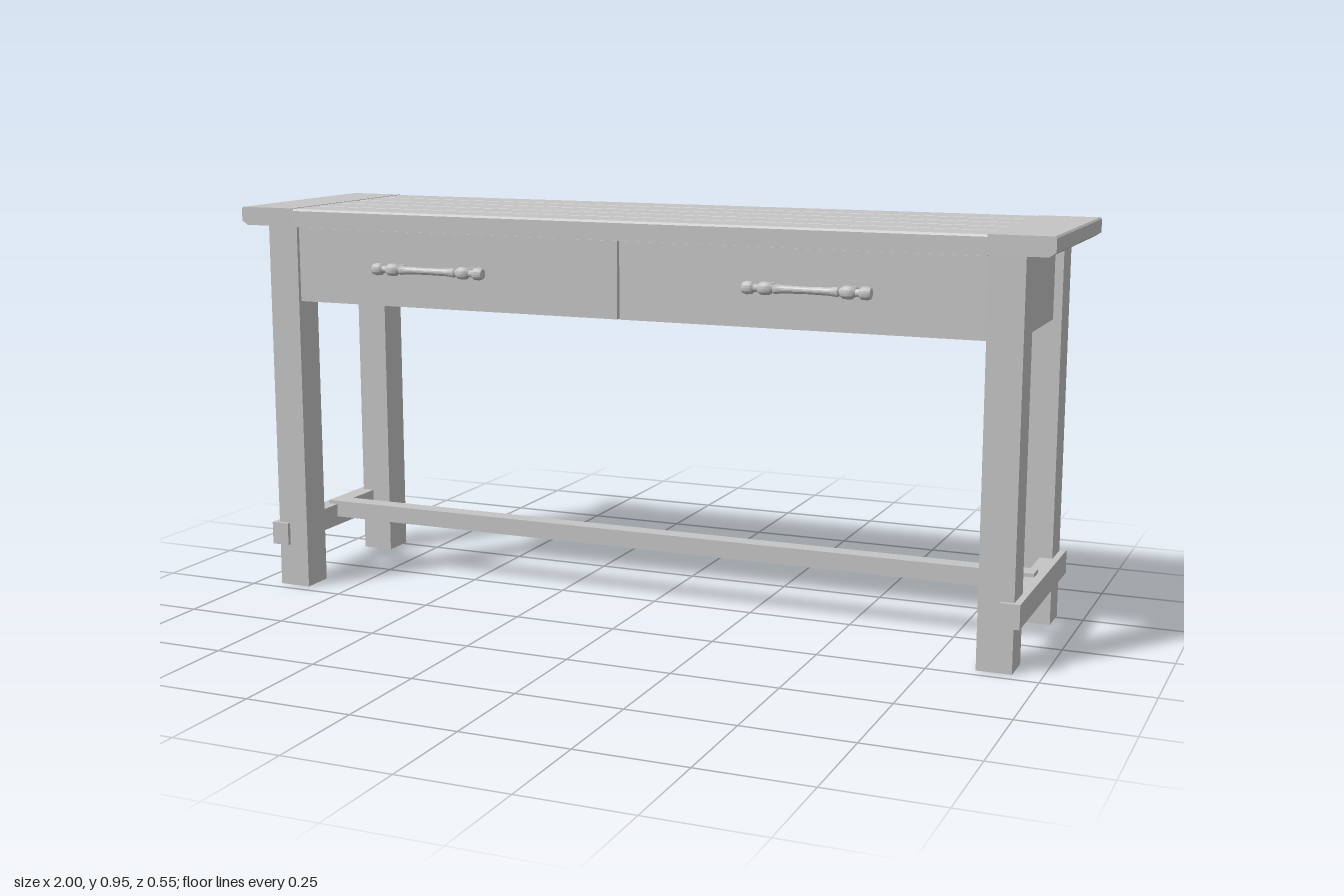
import * as THREE from 'three';
import { toCreasedNormals } from 'three/addons/utils/BufferGeometryUtils.js';

export function createModel() {
  const root = new THREE.Group();
  const grey = new THREE.MeshStandardMaterial({ color: 0xc4c4c4 });
  grey.name = 'plain grey';

  const add = (name, geometry, parent = root) => {
    const mesh = new THREE.Mesh(geometry, grey);
    mesh.name = name;
    parent.add(mesh);
    return mesh;
  };
  // Box given by its limits on each axis
  const box = (name, x0, x1, y0, y1, z0, z1) => {
    const m = add(name, new THREE.BoxGeometry(x1 - x0, y1 - y0, z1 - z0));
    m.position.set((x0 + x1) / 2, (y0 + y1) / 2, (z0 + z1) / 2);
    return m;
  };
  // Profile in (z, y) or (x, y), drawn out along the remaining axis
  const prism = (points, depth) => new THREE.ExtrudeGeometry(
    new THREE.Shape(points.map(([a, b]) => new THREE.Vector2(a, b))),
    { depth, bevelEnabled: false });

  // Table top: five boards with eased long edges
  const zBack = -0.275, zFront = 0.238, boardWidth = (zFront - zBack) / 5, e = 0.005;
  for (let i = 0; i < 5; i++) {
    const w = boardWidth;
    const g = prism([[0, 0.908], [w, 0.908], [w, 0.953 - e], [w - e, 0.953],
      [e, 0.953], [0, 0.953 - e]], 1.71);
    g.rotateY(-Math.PI / 2);
    g.translate(0.855, 0, zBack + i * w);
    add('topBoard', g);
  }

  // End boards of the top, eased along the lower outer edge
  for (const s of [-1, 1]) {
    const pts = [[0.855, 0.91], [0.985, 0.91], [1, 0.92], [1, 0.95], [0.996, 0.954], [0.855, 0.954]]
      .map(([x, y]) => [s * x, y]);
    const g = prism(pts, zFront - zBack);
    g.translate(0, 0, zBack);
    add('topEndBoard', g);
  }

  // Legs, side panels and low cross rails
  for (const s of [-1, 1]) {
    const side = (name, x0, x1, ...rest) =>
      box(name, Math.min(s * x0, s * x1), Math.max(s * x0, s * x1), ...rest);
    side('frontLeg', 0.855, 0.935, 0, 0.91, 0.138, 0.22);
    side('backLeg', 0.855, 0.935, 0, 0.91, -0.263, -0.181);
    side('sidePanel', 0.875, 0.915, 0.725, 0.91, -0.182, 0.139);
    side('crossRail', 0.905, 0.95, 0.105, 0.161, -0.275, 0.23);
  }
  box('longStretcher', -0.93, 0.93, 0.128, 0.17, -0.046, 0);

  // Case: back, underside and two drawer fronts
  box('backPanel', -0.856, 0.856, 0.725, 0.909, -0.248, -0.225);
  box('underside', -0.876, 0.876, 0.727, 0.74, -0.226, 0.195);
  box('caseFront', -0.856, 0.856, 0.74, 0.909, 0.18, 0.196);
  for (const s of [-1, 1]) {
    const d = box('drawerFront', -0.4255, 0.4255, 0.725, 0.905, 0.195, 0.212);
    d.position.x = s * 0.4285;
  }

  // Turned handles on two round posts
  const half = [[0.008, 0], [0.009, 0.05], [0.011, 0.072], [0.008, 0.076], [0.014, 0.084],
    [0.015, 0.094], [0.014, 0.104], [0.008, 0.112], [0.009, 0.12], [0.014, 0.125],
    [0.015, 0.137], [0.012, 0.146], [0, 0.148]];
  const profile = [...half.slice(1).reverse().map(([r, t]) => [r, -t]), ...half]
    .map(([r, t]) => new THREE.Vector2(r, t));
  for (const s of [-1, 1]) {
    const handle = new THREE.Group();
    handle.name = 'drawerHandle';
    handle.position.set(s * 0.468, 0.82, 0.262);
    root.add(handle);
    const bar = toCreasedNormals(new THREE.LatheGeometry(profile, 16), 0.7);
    bar.rotateZ(Math.PI / 2);
    add('handleBar', bar, handle);
    for (const t of [-1, 1]) {
      const post = add('handlePost', new THREE.CylinderGeometry(0.009, 0.009, 0.06, 16), handle);
      post.rotation.x = Math.PI / 2;
      post.position.set(t * 0.094, 0, -0.03);
    }
  }
  return root;
}
